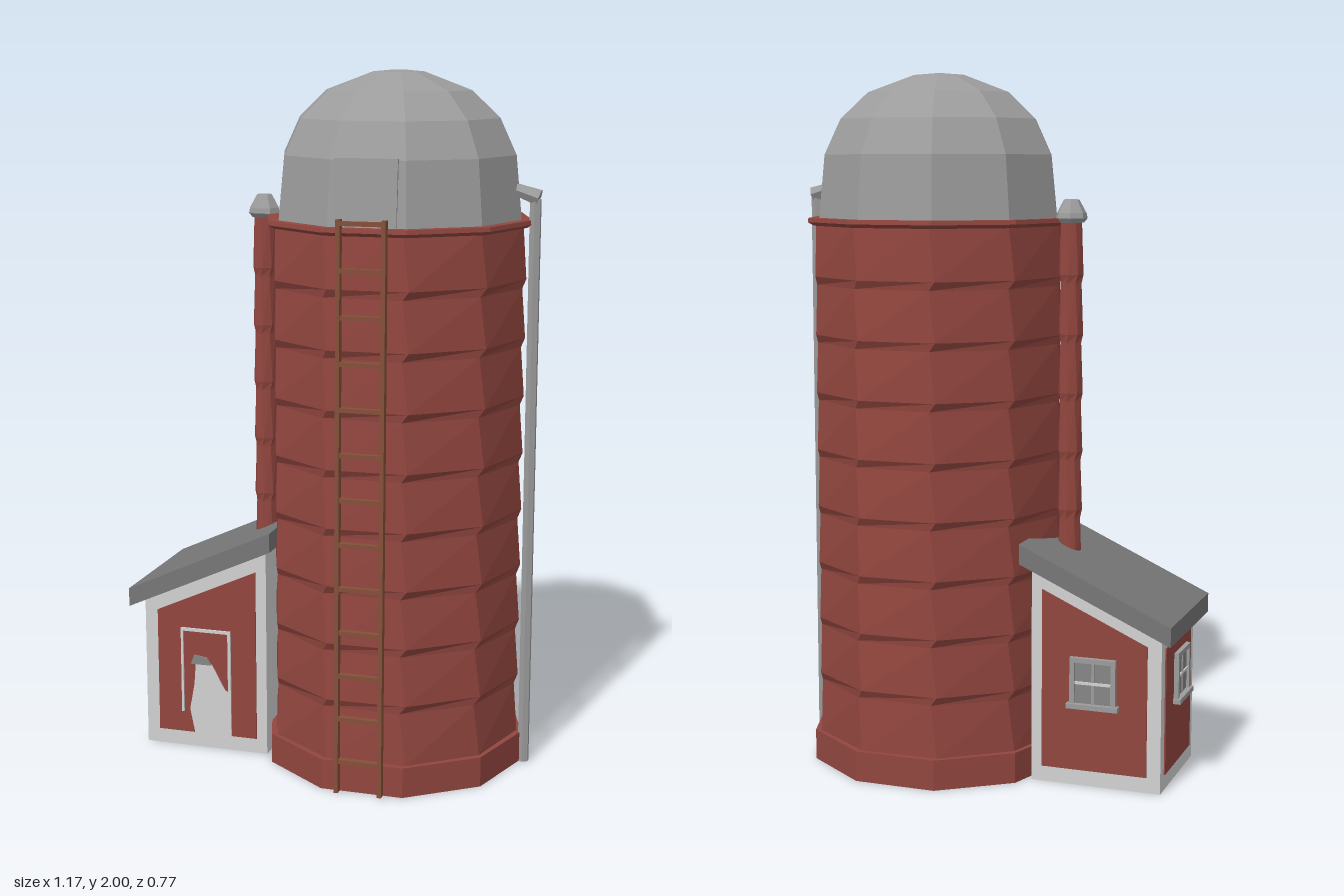
import * as THREE from 'three';

const mat = (name, color) => Object.assign(new THREE.MeshStandardMaterial({ color }), { name });

export function createModel() {
  const model = new THREE.Group();
  const red = mat('barn red', 0x92463f);
  const dome = mat('dome grey', 0x9c9c9c);
  const roofGrey = mat('roof grey', 0x777777);
  const trim = mat('pale trim', 0xd2d2d2);
  const wood = mat('ladder wood', 0x84503a);
  const glass = mat('window grey', 0x868686);
  const CX = 0.17, CZ = -0.02;

  function add(name, geometry, material, x = 0, y = 0, z = 0, parent = model) {
    const flat = geometry.index ? geometry.toNonIndexed() : geometry;
    flat.computeVertexNormals();
    const mesh = new THREE.Mesh(flat, material);
    mesh.name = name;
    mesh.position.set(x, y, z);
    parent.add(mesh);
    return mesh;
  }
  const box = (name, m, w, h, d, x, y, z, parent) =>
    add(name, new THREE.BoxGeometry(w, h, d), m, x, y, z, parent);

  // Faceted solid from rings of [radius, height, turn], capped at both ends
  function loft(rings, sides) {
    const pos = [], index = [];
    for (const [r, y, turn = 0] of rings)
      for (let i = 0; i < sides; i++) {
        const a = (i / sides) * Math.PI * 2 + turn;
        pos.push(r * Math.cos(a), y, r * Math.sin(a));
      }
    const last = (rings.length - 1) * sides, base = rings.length * sides;
    pos.push(0, rings[0][1], 0, 0, rings[rings.length - 1][1], 0);
    for (let i = 0; i < sides; i++) {
      const j = (i + 1) % sides;
      for (let k = 0; k < last; k += sides)
        index.push(k + i, k + sides + i, k + j, k + j, k + sides + i, k + sides + j);
      index.push(base, i, j, base + 1, last + j, last + i);
    }
    const g = new THREE.BufferGeometry();
    g.setAttribute('position', new THREE.Float32BufferAttribute(pos, 3));
    g.setIndex(index);
    return g;
  }

  // Stacked courses, each slightly twisted and stepped in at the top
  function courses(r, y0, y1, n, twist, step, sides) {
    const rings = [], h = (y1 - y0) / n;
    for (let i = 0; i < n; i++) {
      const y = y0 + i * h;
      rings.push([r, y + 0.012, -twist], [r - step, y + h - 0.012, twist]);
    }
    rings[0][1] = y0;
    rings[rings.length - 1][1] = y1;
    return loft(rings, sides);
  }

  const shape = pts => new THREE.Shape(pts.map(p => new THREE.Vector2(...p)));
  const slab = (pts, depth) =>
    new THREE.ExtrudeGeometry(shape(pts), { depth, bevelEnabled: false });

  // Silo
  add('siloBase', loft([[0.386, 0], [0.386, 0.088]], 10), red, CX, 0, CZ);
  add('siloBody', courses(0.37, 0.085, 1.58, 9, 0.022, 0.008, 10), red, CX, 0, CZ);
  add('siloRim', loft([[0.37, 1.57], [0.388, 1.58], [0.386, 1.592]], 10), red, CX, 0, CZ);
  add('dome', loft([[0.355, 1.59], [0.337, 1.77], [0.29, 1.87], [0.21, 1.945], [0.075, 1.995],
    [0.02, 2]], 10), dome, CX, 0, CZ);

  // Hatch at the foot of the dome, leaning with its wall
  const hatch = box('domeHatch', dome, 0.175, 0.18, 0.08, 0.167, 1.682, 0.276);
  hatch.rotation.x = -0.08;

  // Ladder, leaning slightly towards the silo
  const ladder = new THREE.Group();
  ladder.name = 'ladder';
  ladder.position.set(0.168, 0, 0.372);
  ladder.rotation.x = -0.011;
  model.add(ladder);
  for (const s of [-1, 1]) box('ladderRail', wood, 0.012, 1.61, 0.022, s * 0.063, 0.812, 0, ladder);
  for (let i = 0; i < 13; i++)
    box('ladderRung', wood, 0.12, 0.012, 0.018, 0, 0.1 + i * 0.1255, 0, ladder);

  // Downpipe with elbow into the dome
  add('downpipe', new THREE.CylinderGeometry(0.017, 0.017, 1.65, 6), dome, 0.563, 0.825, CZ);
  const elbow = add('downpipeElbow', new THREE.CylinderGeometry(0.018, 0.024, 0.075, 6),
    dome, 0.538, 1.666, CZ);
  elbow.rotation.z = 1.25;

  // Chimney pipe rising from the shed
  add('chimney', courses(0.036, 0.58, 1.59, 6, 0.08, 0.004, 8), red, -0.23, 0, -0.025);
  add('chimneyCap', loft([[0.036, 1.58], [0.046, 1.592], [0.043, 1.607], [0.022, 1.645]], 7),
    dome, -0.23, 0, -0.025);

  // Shed: pale frame with red wall panels
  const ZF = 0.155, ZB = -0.2;
  add('shedFrame', slab([[-0.555, 0], [-0.175, 0], [-0.175, 0.63], [-0.555, 0.46]], ZF - ZB),
    trim, 0, 0, ZB);
  const panel = [[-0.515, 0.045], [-0.207, 0.045], [-0.207, 0.56], [-0.515, 0.42]];
  add('frontPanel', slab(panel, 0.004), red, 0, 0, ZF);
  add('backPanel', slab(panel, 0.004), red, 0, 0, ZB - 0.004);
  box('sidePanel', red, 0.004, 0.365, 0.28, -0.557, 0.228, -0.022);
  add('shedRoof', slab([[-0.59, 0.435], [-0.15, 0.635], [-0.15, 0.692], [-0.59, 0.49]], 0.435),
    roofGrey, 0, 0, -0.24);

  // Door: thin frame strips and a pale, irregular opening
  const door = new THREE.Group();
  door.name = 'door';
  door.position.z = ZF + 0.004;
  model.add(door);
  box('doorFrameTop', trim, 0.155, 0.009, 0.006, -0.3625, 0.368, 0.003, door);
  box('doorFrameLeft', trim, 0.007, 0.26, 0.006, -0.437, 0.24, 0.003, door);
  box('doorFrameRight', trim, 0.009, 0.325, 0.006, -0.289, 0.207, 0.003, door);
  add('doorOpening', slab([[-0.4, 0.045], [-0.287, 0.045], [-0.287, 0.175], [-0.305, 0.19],
    [-0.345, 0.265], [-0.395, 0.265], [-0.4, 0.2], [-0.415, 0.12]], 0.004), trim, 0, 0, 0, door);
  add('doorShade', slab([[-0.41, 0.262], [-0.345, 0.262], [-0.36, 0.285], [-0.4, 0.29]], 0.005),
    glass, 0, 0, 0, door);

  // Windows on the back and outer walls
  function addWindow(x, z, turn) {
    const g = new THREE.Group();
    g.name = 'window';
    g.position.set(x, 0.302, z);
    g.rotation.y = turn;
    model.add(g);
    box('windowPane', glass, 0.12, 0.12, 0.006, 0, 0, 0.003, g);
    for (const s of [-1, 1]) {
      box('windowSide', dome, 0.014, 0.145, 0.014, s * 0.06, 0, 0.007, g);
      box('windowRail', dome, s < 0 ? 0.15 : 0.134, 0.014, s < 0 ? 0.022 : 0.014,
        0, s * 0.066, s < 0 ? 0.011 : 0.007, g);
    }
    box('windowBar', trim, 0.106, 0.008, 0.008, 0, 0, 0.006, g);
    box('windowMullion', dome, 0.008, 0.12, 0.007, 0, 0, 0.0055, g);
  }
  addWindow(-0.36, ZB - 0.004, Math.PI);
  addWindow(-0.559, -0.01, -Math.PI / 2);

  return model;
}
